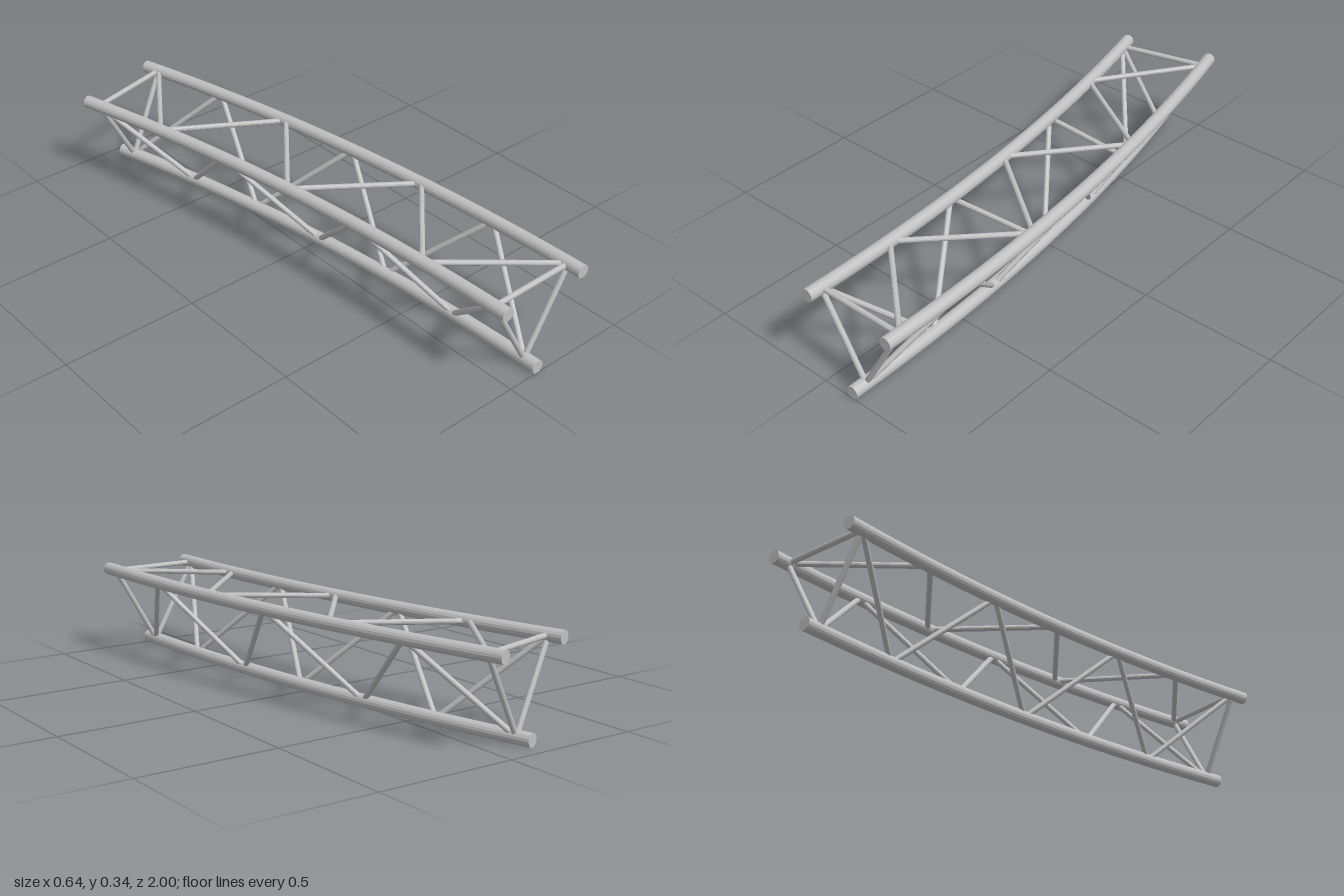
import * as THREE from 'three';

// Curved triangular truss: three concentric arc chords joined by zigzag lacing
const ARC = THREE.MathUtils.degToRad(15);
const CENTRE_X = -7.411;
const CHORD_R = 0.0235;
const BRACE_R = 0.0098;
const CHORDS = {
  outer: { radius: 7.704, y: 0.318 },
  inner: { radius: 7.364, y: 0.318 },
  bottom: { radius: 7.534, y: 0.024 },
};

// Point on a chord at an angle along the bend, starting from the front end
function pointOn(chord, angle) {
  return new THREE.Vector3(
    CENTRE_X + chord.radius * Math.cos(angle),
    chord.y,
    1 - chord.radius * Math.sin(angle)
  );
}

export function createModel() {
  const truss = new THREE.Group();
  truss.name = 'curvedTruss';
  const metal = new THREE.MeshStandardMaterial({ color: 0xc0c0c0, flatShading: true });
  metal.name = 'aluminium';

  // Main chords with closed ends
  for (const [name, chord] of Object.entries(CHORDS)) {
    const group = new THREE.Group();
    group.name = name + 'Chord';
    const tube = new THREE.Mesh(new THREE.TorusGeometry(chord.radius, CHORD_R, 16, 24, ARC), metal);
    tube.name = 'chordTube';
    tube.rotation.x = -Math.PI / 2;
    tube.position.set(CENTRE_X, chord.y, 1);
    group.add(tube);
    for (const [angle, turn] of [[0, 0], [ARC, Math.PI + ARC]]) {
      const cap = new THREE.Mesh(new THREE.CircleGeometry(CHORD_R, 16), metal);
      cap.name = 'chordEnd';
      cap.position.copy(pointOn(chord, angle));
      cap.rotation.y = turn;
      group.add(cap);
    }
    truss.add(group);
  }

  // Straight brace between two points
  function addBrace(group, name, a, b) {
    const dir = b.clone().sub(a);
    const geometry = new THREE.CylinderGeometry(BRACE_R, BRACE_R, dir.length(), 12);
    const brace = new THREE.Mesh(geometry, metal);
    brace.name = name;
    brace.position.copy(a).lerp(b, 0.5);
    brace.quaternion.setFromUnitVectors(new THREE.Vector3(0, 1, 0), dir.normalize());
    group.add(brace);
  }

  // Lacing of each face: six diagonals and a cross bar at both ends
  const node = (i) => THREE.MathUtils.degToRad(0.45 + 2.35 * i);
  const faces = [
    ['topLacing', CHORDS.outer, CHORDS.inner],
    ['outerLacing', CHORDS.bottom, CHORDS.outer],
    ['innerLacing', CHORDS.inner, CHORDS.bottom],
  ];
  for (const [name, even, odd] of faces) {
    const group = new THREE.Group();
    group.name = name;
    for (let i = 0; i < 6; i++) {
      const [from, to] = i % 2 ? [odd, even] : [even, odd];
      addBrace(group, 'diagonal', pointOn(from, node(i)), pointOn(to, node(i + 1)));
    }
    for (const i of [0, 6]) {
      addBrace(group, 'endBar', pointOn(even, node(i)), pointOn(odd, node(i)));
    }
    truss.add(group);
  }
  return truss;
}
